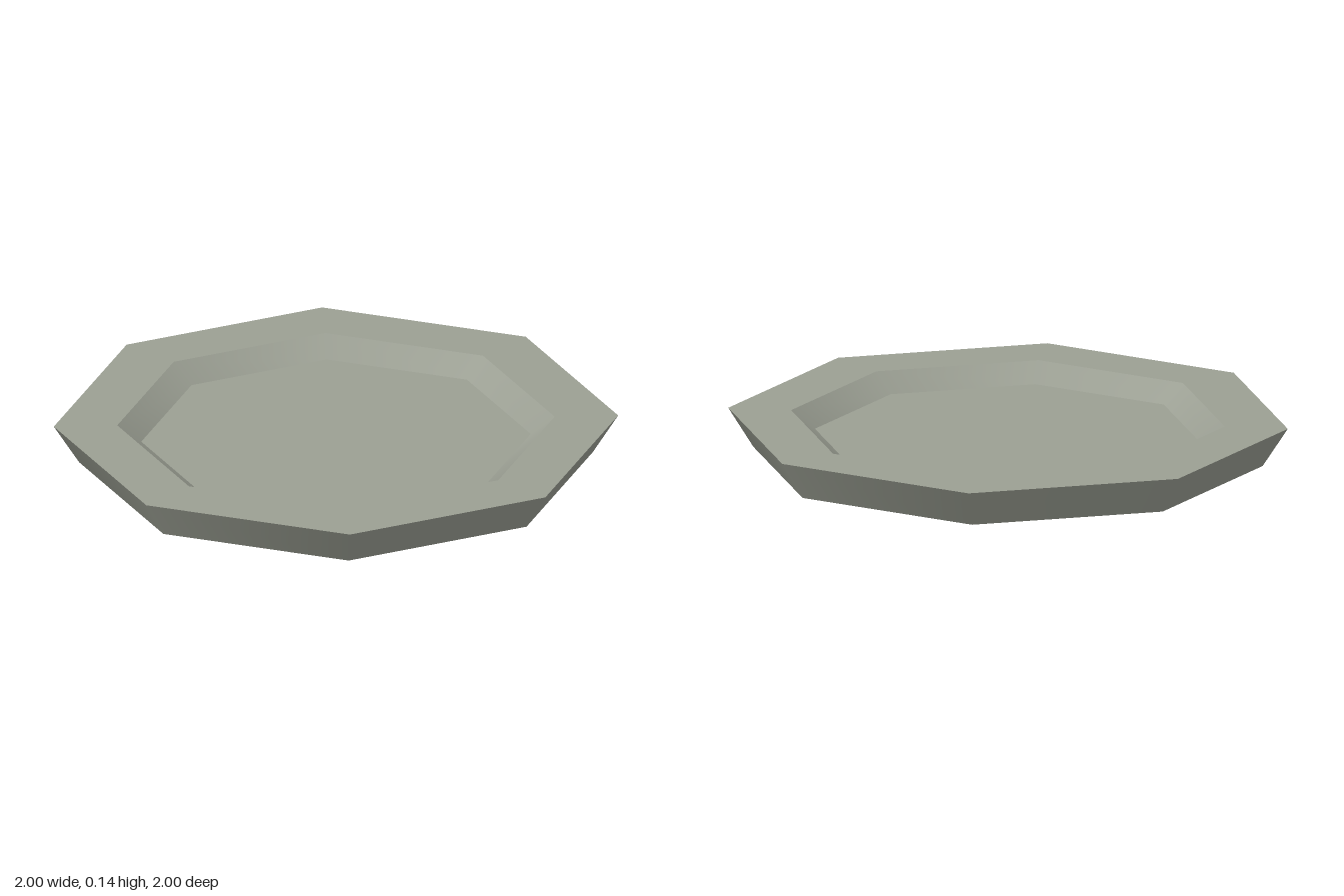
import * as THREE from 'three';

const SIDES = 8;

// Profile corners as [radius, height]
const BASE_CENTRE = [0, 0];
const BASE_EDGE = [0.91, 0];
const RIM_OUTER = [1, 0.14];
const RIM_INNER = [0.775, 0.14];
const WELL_EDGE = [0.69, 0.075];
const WELL_CENTRE = [0, 0.075];

export function createModel() {
  const model = new THREE.Group();
  model.name = 'octagonalPlate';

  const stone = new THREE.MeshStandardMaterial({ color: 0x9b9f93 });
  stone.name = 'greyStone';

  // Each band is lathed alone: smooth around, crisp at the rims
  const band = (name, from, to) => {
    const profile = [new THREE.Vector2(...from), new THREE.Vector2(...to)];
    const mesh = new THREE.Mesh(new THREE.LatheGeometry(profile, SIDES), stone);
    mesh.name = name;
    model.add(mesh);
  };

  band('underside', BASE_CENTRE, BASE_EDGE);
  band('outerWall', BASE_EDGE, RIM_OUTER);
  band('rim', RIM_OUTER, RIM_INNER);
  band('wellWall', RIM_INNER, WELL_EDGE);
  band('wellFloor', WELL_EDGE, WELL_CENTRE);

  return model;
}
